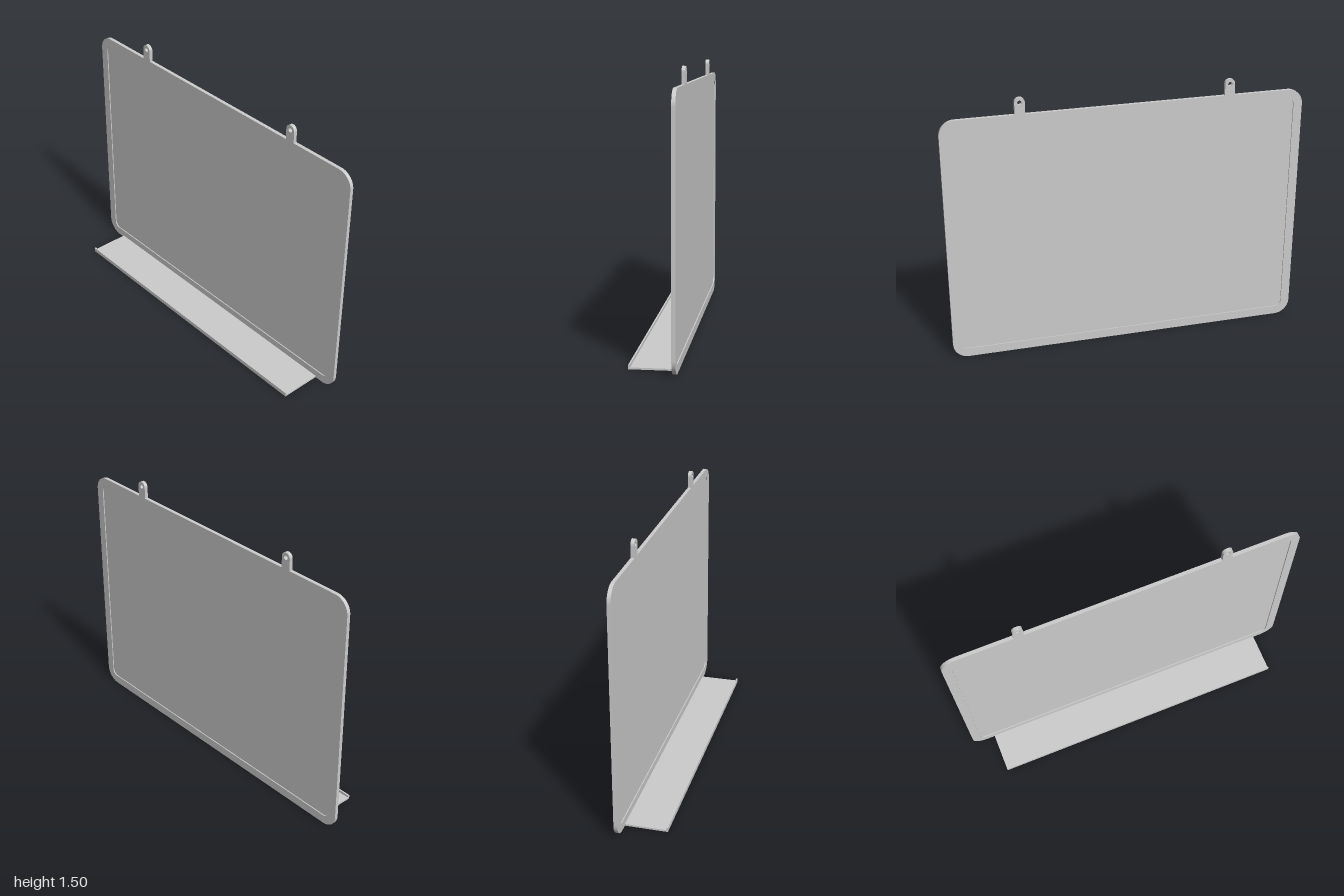
import * as THREE from 'three';

const WIDTH = 2, HEIGHT = 1.405, RIM = 0.05, RADIUS = 0.085;
const BACK = -0.127, FRONT = -0.107, THICK = FRONT - BACK, RECESS = 0.006;

const material = new THREE.MeshStandardMaterial({ color: 0xcccccc });

// Traces a rounded rectangle standing on y = inset
function roundedRect(path, inset, r) {
  const x = WIDTH / 2 - inset, y0 = inset, y1 = HEIGHT - inset;
  path.moveTo(-x + r, y0);
  path.lineTo(x - r, y0);
  path.absarc(x - r, y0 + r, r, -Math.PI / 2, 0);
  path.lineTo(x, y1 - r);
  path.absarc(x - r, y1 - r, r, 0, Math.PI / 2);
  path.lineTo(-x + r, y1);
  path.absarc(-x + r, y1 - r, r, Math.PI / 2, Math.PI);
  path.lineTo(-x, y0 + r);
  path.absarc(-x + r, y0 + r, r, Math.PI, Math.PI * 1.5);
  return path;
}

function extrude(name, shape, depth, z) {
  const geometry = new THREE.ExtrudeGeometry(shape, { depth, bevelEnabled: false, curveSegments: 12 });
  const mesh = new THREE.Mesh(geometry, material);
  mesh.name = name;
  mesh.position.z = z;
  return mesh;
}

export function createModel() {
  const group = new THREE.Group();
  group.name = 'wallBoard';

  // Raised rim around the board
  const rim = roundedRect(new THREE.Shape(), 0, RADIUS);
  rim.holes.push(roundedRect(new THREE.Path(), RIM, RADIUS - RIM));
  group.add(extrude('rim', rim, THICK, BACK));

  // Panel set back from the rim on both faces
  const panel = roundedRect(new THREE.Shape(), RIM, RADIUS - RIM);
  group.add(extrude('panel', panel, THICK - 2 * RECESS, BACK + RECESS));

  // Hanging tabs with screw holes
  const r = 0.028, holeY = 1.469;
  for (const side of [-1, 1]) {
    const tab = new THREE.Shape();
    tab.moveTo(-r, HEIGHT);
    tab.lineTo(r, HEIGHT);
    tab.lineTo(r, holeY);
    tab.absarc(0, holeY, r, 0, Math.PI);
    tab.lineTo(-r, HEIGHT);
    tab.holes.push(new THREE.Path().absarc(0, holeY, 0.012, 0, Math.PI * 2, true));
    const mesh = extrude(side > 0 ? 'leftTab' : 'rightTab', tab, THICK, BACK);
    mesh.position.x = side * 0.575;
    group.add(mesh);
  }

  // Pen tray: L-shaped profile swept along x
  const trayWidth = 1.74, trayFront = 0.127, floor = 0.01, lip = 0.009, lipTop = 0.024;
  const profile = new THREE.Shape([
    [FRONT, 0], [trayFront, 0], [trayFront, lipTop],
    [trayFront - lip, lipTop], [trayFront - lip, floor], [FRONT, floor],
  ].map(([z, y]) => new THREE.Vector2(-z, y)));
  const tray = extrude('tray', profile, trayWidth, 0);
  tray.rotation.y = Math.PI / 2;
  tray.position.x = -trayWidth / 2;
  group.add(tray);

  return group;
}
